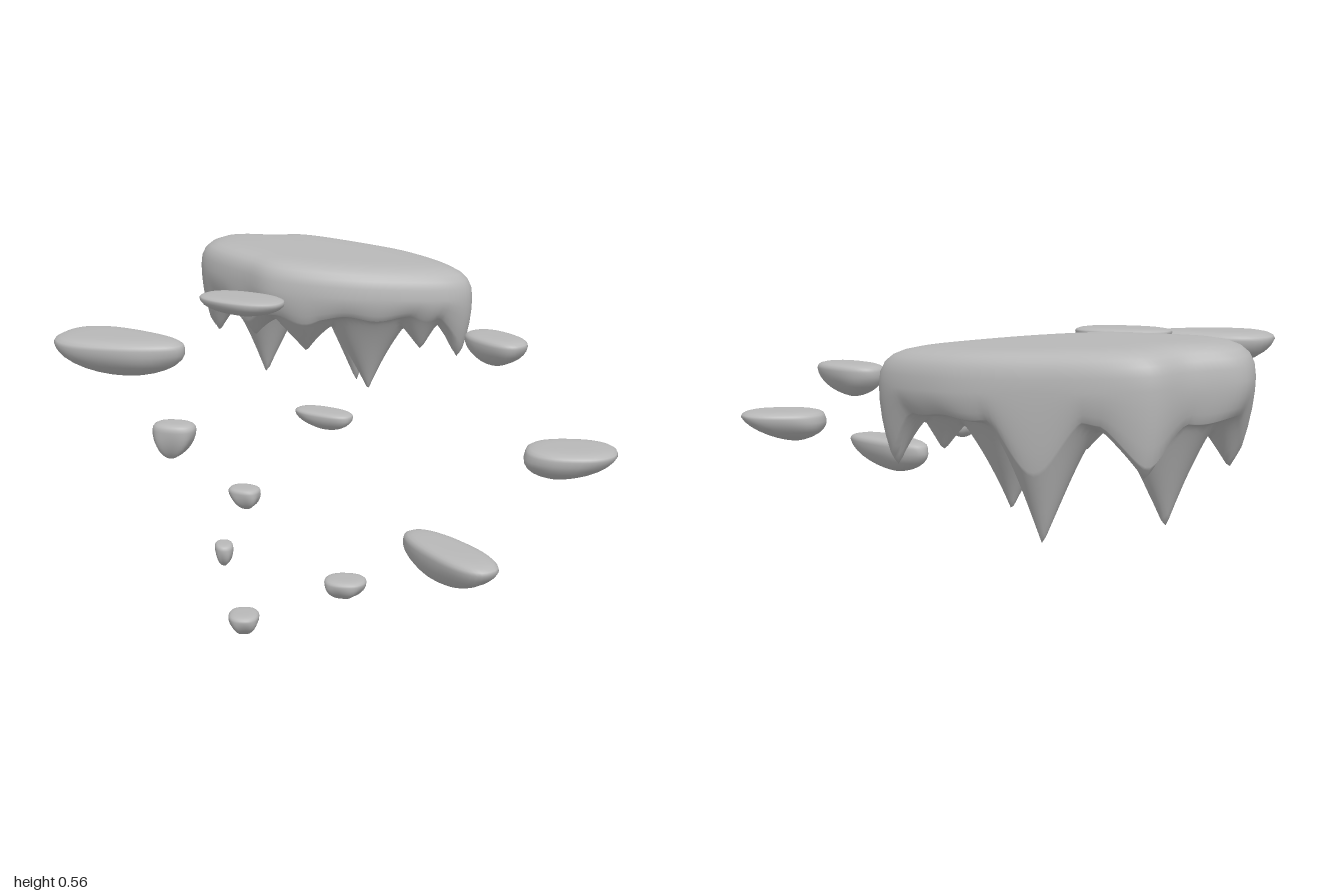
import * as THREE from 'three';

const stone = new THREE.MeshStandardMaterial({ color: 0xb8b8b8 });
stone.name = 'grey stone';

// Skin rings of points running from the top centre outward and under
function shell(name, rings) {
  const n = rings[0].length;
  const index = [];
  for (let i = 0; i < rings.length - 1; i++) {
    for (let j = 0; j < n; j++) {
      const a = i * n + j, b = i * n + (j + 1) % n;
      if (i > 0) index.push(a, b, a + n);
      if (i < rings.length - 2) index.push(b, b + n, a + n);
    }
  }
  const geometry = new THREE.BufferGeometry().setFromPoints(rings.flat());
  geometry.setIndex(index);
  geometry.computeVertexNormals();
  const mesh = new THREE.Mesh(geometry, stone);
  mesh.name = name;
  return mesh;
}

// Plan of the large island, clockwise from above: x, z
const RIM = [
  [-0.44, -0.79], [-0.4, -0.94], [-0.26, -0.965], [-0.16, -1], [0.08, -0.905],
  [0.29, -0.765], [0.405, -0.57], [0.36, -0.515], [0.05, -0.455], [-0.2, -0.5], [-0.29, -0.59],
];

// Hanging spikes: x, z, tip height, radius
const SPIKES = [
  [0.05, -0.83, 0.09, 0.13], [0.09, -0.61, 0.12, 0.13], [-0.24, -0.82, 0.11, 0.12],
  [0.36, -0.585, 0.23, 0.09], [-0.16, -0.96, 0.25, 0.1], [-0.39, -0.82, 0.26, 0.09],
  [0.25, -0.57, 0.27, 0.08], [-0.1, -0.57, 0.25, 0.1], [-0.26, -0.64, 0.29, 0.09],
];

// Height of the underside, pulled down in a flared cone at each spike
function underside(x, z, s) {
  const base = 0.34 + 0.05 * s * s;
  const drops = SPIKES.map(([sx, sz, tip, r]) => {
    const near = Math.max(0, 1 - Math.hypot(x - sx, z - sz) / r);
    return (base - tip) * Math.pow(near, 1.25);
  });
  return base - Math.max(...drops) + 0.008 * Math.sin(x * 31 + 1) * Math.cos(z * 27);
}

function largeIsland() {
  const curve = new THREE.CatmullRomCurve3(
    RIM.map(([x, z]) => new THREE.Vector3(x, 0, z)), true, 'centripetal');
  const rim = curve.getSpacedPoints(144).slice(0, -1);
  const centre = new THREE.Vector3(-0.03, 0, -0.73);
  const ring = (s, height) => rim.map((p) => {
    const v = centre.clone().lerp(p, s);
    return v.setY(height(v, p));
  });
  const top = (x) => 0.543 - 0.05 * x;
  const lip = 0.09, inner = 0.94;
  const rings = [];
  // Flat top with a rounded rim
  for (let i = 0; i <= 12; i++) {
    const a = (i / 12) * Math.PI / 2;
    rings.push(ring(Math.sin(a), (v) => top(v.x) - lip * Math.pow(1 - Math.cos(a), 3)));
  }
  // Wall
  for (let t = 0.25; t < 1; t += 0.25) {
    rings.push(ring(1 - (1 - inner) * t * t, (v, p) => {
      const foot = centre.clone().lerp(p, inner);
      return THREE.MathUtils.lerp(top(v.x) - lip, underside(foot.x, foot.z, inner), t);
    }));
  }
  // Underside
  for (let i = 0; i <= 46; i++) {
    const s = inner * (1 - i / 46);
    rings.push(ring(s, (v) => underside(v.x, v.z, s)));
  }
  return shell('largeIsland', rings);
}

// Small rock: oval plan, flat top with rounded rim, belly narrowing to a keel
function rock([name, x, z, length, width, turn, taper, keel, top, bottom]) {
  const rough = length < 0.12 ? 0.12 : 0.04;
  const angle = THREE.MathUtils.degToRad(turn);
  const squared = (v) => Math.sign(v) * Math.pow(Math.abs(v), 0.85);
  const ring = (s, depth, under) => Array.from({ length: 40 }, (_, j) => {
    const a = (j / 40) * Math.PI * 2;
    const r = s * (1 + rough * under * Math.sin(a * 5 + x * 40));
    const u = squared(Math.cos(a)), w = squared(Math.sin(a));
    const along = (length / 2) * (u * r + keel * under);
    const across = (width / 2) * w * (1 + taper * u) * r;
    return new THREE.Vector3(
      x + along * Math.cos(angle) - across * Math.sin(angle),
      top - depth * (top - bottom),
      z + along * Math.sin(angle) + across * Math.cos(angle));
  });
  const rings = [];
  for (let i = 0; i <= 7; i++) {
    const a = (i / 7) * Math.PI / 2;
    rings.push(ring(Math.sin(a), 0.2 * Math.pow(1 - Math.cos(a), 2), 0));
  }
  for (let i = 1; i <= 8; i++) {
    const a = (i / 8) * Math.PI / 2;
    const s = i < 8 ? Math.pow(Math.cos(a), 1.3) : 0;
    rings.push(ring(s, 0.2 + 0.8 * Math.sin(a), Math.sin(a)));
  }
  return shell(name, rings);
}

// name, x, z, length, width, turn, taper, keel shift, top, bottom
const ROCKS = [
  ['highSlabRock', -0.267, -0.203, 0.26, 0.14, 25, 0, 0, 0.522, 0.465],
  ['leftBackRock', 0.45, -0.13, 0.21, 0.12, 50, 0, -0.1, 0.432, 0.342],
  ['rightWideRock', -0.573, 0.077, 0.37, 0.19, 18, -0.35, 0.1, 0.482, 0.37],
  ['leftFrontRock', 0.625, 0.285, 0.24, 0.17, 3, 0, -0.3, 0.247, 0.157],
  ['middleRock', -0.017, 0.35, 0.16, 0.075, 27, 0, 0.1, 0.362, 0.31],
  ['jaggedRock', -0.385, 0.478, 0.11, 0.075, 10, 0, -0.2, 0.367, 0.27],
  ['longLowRock', 0.297, 0.63, 0.33, 0.12, 54, 0.1, -0.2, 0.105, 0],
  ['pebbleA', -0.2, 0.638, 0.078, 0.062, 20, 0, 0.1, 0.257, 0.2],
  ['pebbleB', -0.238, 0.79, 0.06, 0.043, 80, 0, 0, 0.173, 0.115],
  ['pebbleC', 0.048, 0.848, 0.098, 0.08, 5, 0, -0.1, 0.112, 0.06],
  ['pebbleD', -0.18, 0.96, 0.08, 0.07, 90, 0, -0.1, 0.073, 0.018],
];

export function createModel() {
  const group = new THREE.Group();
  group.name = 'floatingRocks';
  group.add(largeIsland(), ...ROCKS.map(rock));
  return group;
}
